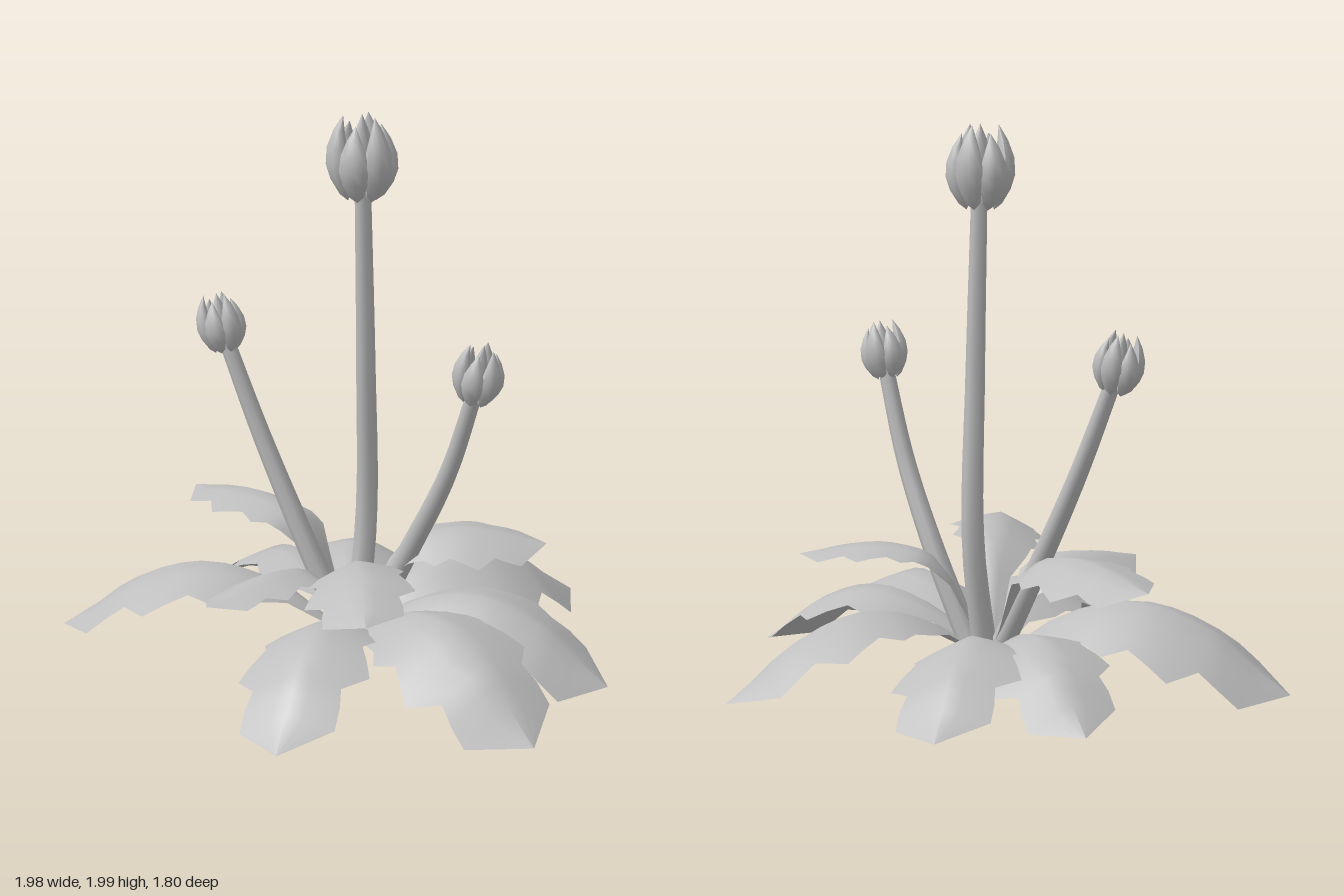
import * as THREE from 'three';

const grey = new THREE.MeshStandardMaterial({ color: 0xbebebe, side: THREE.DoubleSide });
grey.name = 'plain grey';

// Half outline of a toothed leaf: [distance along, half width], in leaf lengths
const OUTLINE = [
  [0, 0.02], [0.1, 0.045], [0.2, 0.08], [0.3, 0.155], [0.37, 0.175], [0.43, 0.22], [0.51, 0.19],
  [0.58, 0.225], [0.65, 0.255], [0.735, 0.17], [0.8, 0.183], [0.866, 0.182], [1, 0.001],
];
const CENTRE = { x: 0.02, y: 0.07, z: 0.02 };

// Leaf arched along its length, folded down from the midrib and rolled to one side
function makeLeaf([tipX, tipZ, peak], { heights, width }) {
  const dx = tipX - CENTRE.x, dz = tipZ - CENTRE.z;
  const length = Math.hypot(dx, dz), ux = dx / length, uz = dz / length;
  const arch = new THREE.SplineCurve([CENTRE.y, ...heights.map((h) => h * peak)]
    .map((y, i) => new THREE.Vector2(i / 4, y)));
  const cols = 6, pos = [], index = [];
  OUTLINE.forEach(([u, w], row) => {
    const ridge = arch.getPoint(u).y;
    for (let c = 0; c <= cols; c++) {
      const side = (c / cols * 2 - 1) * w * width * length;
      const y = ridge - 0.3 * Math.abs(side) - 0.5 * side * side - 0.16 * side;
      pos.push(CENTRE.x + ux * u * length - uz * side, Math.max(y, 0),
        CENTRE.z + uz * u * length + ux * side);
      if (row && c) {
        const k = row * (cols + 1) + c, p = k - cols - 1;
        index.push(p - 1, p, k - 1, p, k, k - 1);
      }
    }
  });
  const g = new THREE.BufferGeometry();
  g.setAttribute('position', new THREE.Float32BufferAttribute(pos, 3));
  g.setIndex(index);
  g.computeVertexNormals();
  return new THREE.Mesh(g, grey);
}

// Tapered tube along a curve
function makeStem(points, r0, r1) {
  const path = new THREE.CatmullRomCurve3(points.map((p) => new THREE.Vector3(...p)));
  const segs = 14, sides = 8;
  const g = new THREE.TubeGeometry(path, segs, 1, sides, false);
  const pos = g.attributes.position, v = new THREE.Vector3();
  for (let i = 0; i <= segs; i++) {
    const centre = path.getPointAt(i / segs);
    const r = THREE.MathUtils.lerp(r0, r1, i / segs);
    for (let j = 0; j <= sides; j++) {
      const k = i * (sides + 1) + j;
      v.fromBufferAttribute(pos, k).sub(centre).multiplyScalar(r).add(centre);
      pos.setXYZ(k, v.x, v.y, v.z);
    }
  }
  return new THREE.Mesh(g, grey);
}

// Flattened almond petal, bowed outward along +x
function petalGeometry(height, bow) {
  const profile = [[0, 0], [0.028, 0.08], [0.048, 0.25], [0.057, 0.42], [0.049, 0.62], [0.027, 0.82], [0, 1]]
    .map(([r, t]) => new THREE.Vector2(r, t * height));
  const g = new THREE.LatheGeometry(profile, 10);
  const pos = g.attributes.position;
  for (let i = 0; i < pos.count; i++) {
    const t = pos.getY(i) / height;
    pos.setX(i, pos.getX(i) * 0.75 + bow * (0.58 + 0.2 * t + 1.4 * t * (1 - t)));
  }
  g.computeVertexNormals();
  return g;
}

// Closed flower: six petals round a middle one, origin at its base
function makeBud() {
  const bud = new THREE.Group();
  for (let i = 0; i < 6; i++) {
    const petal = new THREE.Mesh(petalGeometry(i % 2 ? 0.27 : 0.3, 0.088), grey);
    petal.name = 'petal';
    petal.rotation.y = -(i + 1 / 3) * Math.PI / 3;
    petal.position.y = 0.002;
    bud.add(petal);
  }
  const middle = new THREE.Mesh(petalGeometry(0.28, 0), grey);
  middle.name = 'middlePetal';
  middle.position.y = 0.025;
  bud.add(middle);
  return bud;
}

export function createModel() {
  const model = new THREE.Group();

  // Leaves: heights are shares of the peak at each quarter; tips are x, z, peak height
  const rings = [
    { name: 'groundLeaf', heights: [0.8, 1, 0.7, 0.035], width: 1, tips: [
      [-0.99, 0.45, 0.305], [0.30, 0.90, 0.27], [0.99, 0.38, 0.285], [0.98, -0.18, 0.28],
      [0.45, -0.9, 0.285], [-0.40, -0.77, 0.24], [-0.74, -0.40, 0.24]] },
    { name: 'raisedLeaf', heights: [0.84, 1, 0.98, 0.89], width: 0.94, tips: [
      [-0.15, 0.67, 0.4], [0.50, 0.66, 0.485], [0.63, -0.35, 0.475], [-0.77, -0.10, 0.5]] },
  ];
  for (const ring of rings) {
    for (const tip of ring.tips) {
      const leaf = makeLeaf(tip, ring);
      leaf.name = ring.name;
      model.add(leaf);
    }
  }

  // Three flower stalks
  const stalks = [
    { name: 'tall', path: [[0.03, 0.06, 0], [0.035, 0.5, -0.065], [0.05, 1.1, -0.035], [0.055, 1.76, -0.005]],
      r: [0.045, 0.029], base: [0.055, 1.69, 0], scale: 1, tilt: 0 },
    { name: 'right', path: [[0, 0.06, 0.02], [-0.165, 0.4, 0.045], [-0.345, 0.78, 0.06], [-0.485, 1.13, 0.08]],
      r: [0.045, 0.029], base: [-0.48, 1.075, 0.085], scale: 0.72, tilt: 0.18 },
    { name: 'left', path: [[0.06, 0.06, -0.02], [0.24, 0.42, -0.035], [0.41, 0.75, -0.01], [0.535, 1.1, 0.015]],
      r: [0.045, 0.029], base: [0.525, 1.04, 0.02], scale: 0.72, tilt: -0.18 },
  ];
  for (const s of stalks) {
    const stem = makeStem(s.path, ...s.r);
    stem.name = s.name + 'Stem';
    const bud = makeBud();
    bud.name = s.name + 'Bud';
    bud.position.set(...s.base);
    bud.scale.set(s.scale, s.scale, s.scale * 0.87);
    bud.rotation.z = s.tilt;
    model.add(stem, bud);
  }
  return model;
}
